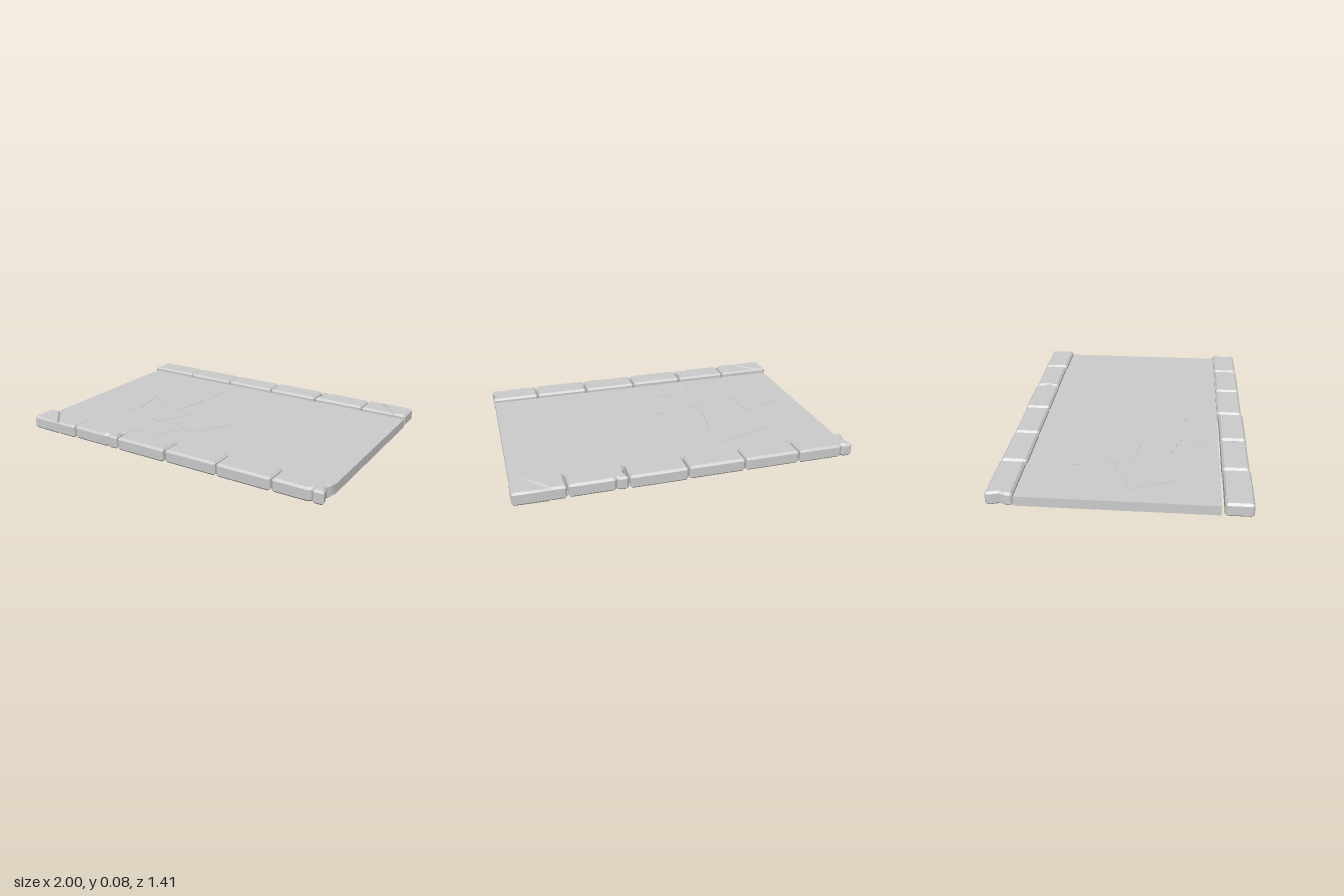
import * as THREE from 'three';

const grey = new THREE.MeshStandardMaterial({ color: 0xcccccc, flatShading: true });
const thin = new THREE.MeshStandardMaterial({ color: 0xcccccc, flatShading: true, side: THREE.DoubleSide });
const BEVEL = 0.012, TOP = 0.083, HEIGHT = 0.08;
const points = (list) => list.map(([x, z]) => new THREE.Vector2(x, z));

function add(parent, geometry, material, name) {
  const mesh = new THREE.Mesh(geometry, material);
  mesh.name = name;
  parent.add(mesh);
  return mesh;
}

// Bevelled block from a plan outline in x, z
function block(outline) {
  const g = new THREE.ExtrudeGeometry(new THREE.Shape(points(outline)), {
    depth: HEIGHT - 2 * BEVEL, bevelEnabled: true, bevelSegments: 1,
    bevelSize: BEVEL, bevelThickness: BEVEL, bevelOffset: -BEVEL,
  });
  return g.rotateX(Math.PI / 2).translate(0, TOP - BEVEL, 0);
}

// Plan of one kerb stone: clipped corners, optional ragged ends and a nick in the outer (+z) side
function stonePlan({ x0, x1, z0, z1, ragged0, ragged1, nick }) {
  const c = 0.01, d = z1 - z0, p = [[x0 + c, z0], [x1 - c, z0], [x1, z0 + c]];
  if (ragged1) p.push([x1 - 0.004, z0 + d * 0.3], [x1 - 0.017, z0 + d * 0.5], [x1 - 0.006, z0 + d * 0.75]);
  p.push([x1, z1 - c], [x1 - c, z1]);
  if (nick !== undefined) p.push([nick + 0.016, z1], [nick, z1 - 0.014], [nick - 0.016, z1]);
  p.push([x0 + c, z1], [x0, z1 - c]);
  if (ragged0) p.push([x0 + 0.006, z0 + d * 0.75], [x0 + 0.017, z0 + d * 0.5], [x0 + 0.004, z0 + d * 0.3]);
  p.push([x0, z0 + c]);
  return p;
}

// Corner stone split by a diagonal crack across its outer left corner
function crackedPlans({ x0, x1, z0, z1 }) {
  const c = 0.01, a = [x0 + 0.07, z0], b = [x0 + 0.21, z1];
  return [
    [a, [x1 - c, z0], [x1, z0 + c], [x1, z1 - c], [x1 - c, z1], b],
    [[x0 + c, z0], a, b, [x0 + c, z1], [x0, z1 - c], [x0, z0 + c]],
  ];
}

const spans = [[-1, -0.665], [-0.657, -0.33], [-0.322, 0.01], [0.02, 0.353], [0.362, 0.692], [0.7, 0.995]];
const frontZ = [[0.55, 0.703], [0.546, 0.697], [0.546, 0.698], [0.535, 0.69], [0.535, 0.69], [0.532, 0.686]];
const backZ = [[0.555, 0.703], [0.55, 0.7], [0.552, 0.7], [0.552, 0.706], [0.556, 0.703], [0.55, 0.706]];
const frontWear = { 1: { ragged1: true, nick: -0.4 }, 5: { ragged1: true, nick: 0.925 } };
const backWear = { 0: { ragged0: true, nick: -0.935 }, 4: { ragged0: true, nick: 0.425 } };

// Row of six kerb stones; the back row is mirrored in plan
function kerbRow(name, zs, wear, cracked, back) {
  const row = new THREE.Group();
  row.name = name;
  spans.forEach(([x0, x1], i) => {
    const spec = { x0, x1, z0: zs[i][0], z1: zs[i][1], ...wear[i] };
    let plans;
    if (i !== cracked) plans = [stonePlan(spec)];
    else if (back) {
      plans = crackedPlans({ ...spec, x0: -x1, x1: -x0 }).map((p) => p.map(([x, z]) => [-x, z]));
    } else plans = crackedPlans(spec);
    plans.forEach((plan) => {
      const outline = back ? plan.map(([x, z]) => [x, -z]) : plan;
      add(row, block(outline), grey, 'kerbStone');
    });
  });
  return row;
}

// Paving stones that stand just proud of the floor
const tiles = [
  [[-0.256, -0.42], [-0.65, -0.31], [-0.566, 0.05], [-0.32, 0.085]],
  [[0.112, 0.11], [-0.156, 0.02], [-0.23, 0.265], [-0.03, 0.35]],
  [[-0.215, 0.1], [-0.44, 0.11], [-0.475, 0.25], [-0.305, 0.32]],
  [[-0.11, 0.35], [-0.28, 0.295], [-0.375, 0.485], [-0.2, 0.525]],
  [[-0.56, 0.225], [-0.61, -0.065], [-0.863, 0.055], [-0.77, 0.29]],
];

// Floor: an open-bottomed shell with tiles set into its top
function floorSlab() {
  const slab = new THREE.Group();
  slab.name = 'floorSlab';
  const x0 = -0.985, x1 = 0.99, z0 = -0.555, z1 = 0.535, y0 = 0, y1 = 0.057;
  const top = new THREE.Shape(points([[x0, z0], [x1, z0], [x1, z1], [x0, z1]]));
  top.holes = tiles.map((t) => new THREE.Path(points(t)));
  // Mirrored z keeps the top facing up
  const flat = (shape) => {
    const g = new THREE.ShapeGeometry(shape);
    return g.rotateX(Math.PI / 2);
  };
  const facing = thin.clone();
  const topGeo = flat(top).translate(0, y1, 0);
  const index = topGeo.index.array;
  for (let i = 0; i < index.length; i += 3) [index[i], index[i + 1]] = [index[i + 1], index[i]];
  topGeo.computeVertexNormals();
  add(slab, topGeo, facing, 'floorTop');

  const h = y1 - y0, ym = (y0 + y1) / 2, xm = (x0 + x1) / 2, zm = (z0 + z1) / 2;
  [[x1 - x0, xm, z1, 0], [x1 - x0, xm, z0, Math.PI],
    [z1 - z0, x1, zm, Math.PI / 2], [z1 - z0, x0, zm, -Math.PI / 2]].forEach(([w, x, z, turn]) => {
    add(slab, new THREE.PlaneGeometry(w, h).rotateY(turn).translate(x, ym, z), thin, 'floorEdge');
  });

  tiles.forEach((t) => {
    const g = new THREE.ExtrudeGeometry(new THREE.Shape(points(t)), { depth: 0.003, bevelEnabled: false });
    add(slab, g.rotateX(Math.PI / 2).translate(0, y1 + 0.002, 0), grey, 'pavingTile');
  });
  return slab;
}

export function createModel() {
  const model = new THREE.Group();
  model.name = 'stonePath';
  model.add(floorSlab());
  model.add(kerbRow('frontKerb', frontZ, frontWear, 0, false));
  model.add(kerbRow('backKerb', backZ, backWear, 5, true));

  // Long thin scar on the third front stone
  const scar = new THREE.Shape(points([[-0.27, 0.052], [-0.2, 0.04], [-0.01, 0.066], [-0.2, 0.046]]));
  add(model, new THREE.ExtrudeGeometry(scar, { depth: 0.004, bevelEnabled: false }).translate(0, 0, 0.696), grey, 'scar');
  return model;
}
